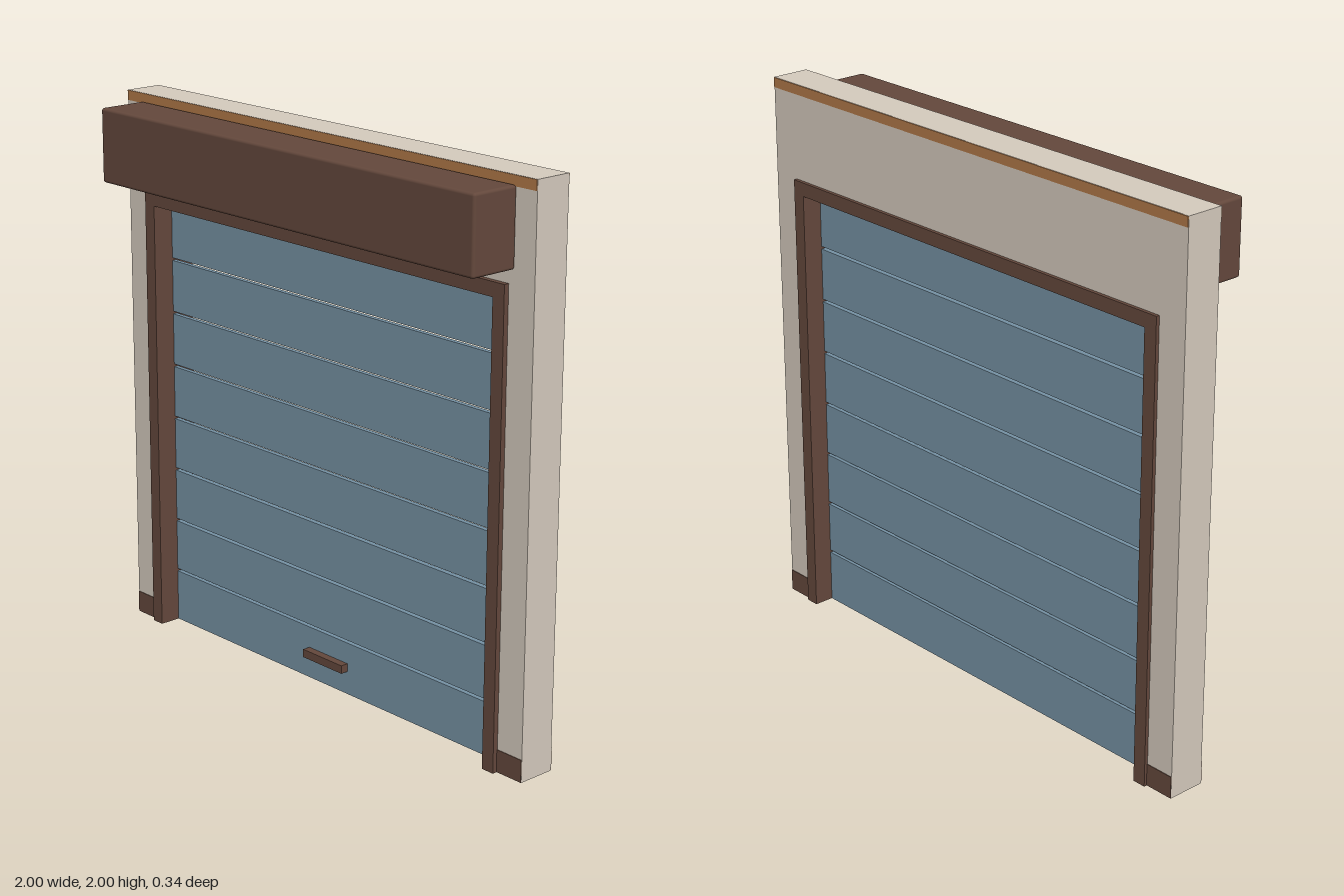
import * as THREE from 'three';
import { RoundedBoxGeometry } from 'three/addons/geometries/RoundedBoxGeometry.js';

const paint = (color) => new THREE.MeshStandardMaterial({ color });

export function createModel() {
  const group = new THREE.Group();
  const plaster = paint(0xd4cabd), brown = paint(0x64483c);
  const blue = paint(0x7591a3), copper = paint(0xb07848);

  function add(name, geometry, material, x = 0, y = 0, z = 0) {
    const mesh = new THREE.Mesh(geometry, material);
    mesh.name = name;
    mesh.position.set(x, y, z);
    group.add(mesh);
    return mesh;
  }
  const box = (w, h, d) => new THREE.BoxGeometry(w, h, d);

  // Upside-down U: two legs joined by a lintel, extruded from zBack to zFront
  function portal(name, outerX, outerY, innerX, innerY, zBack, zFront, material) {
    const shape = new THREE.Shape([
      [-outerX, 0], [-innerX, 0], [-innerX, innerY], [innerX, innerY],
      [innerX, 0], [outerX, 0], [outerX, outerY], [-outerX, outerY],
    ].map(([x, y]) => new THREE.Vector2(x, y)));
    const geometry = new THREE.ExtrudeGeometry(shape, { depth: zFront - zBack, bevelEnabled: false });
    return add(name, geometry, material, 0, 0, zBack);
  }

  const wallZ = -0.086;

  // Wall around the opening, and the frame lining it
  portal('wall', 1, 2, 0.88, 1.64, -0.156, -0.016, plaster);
  portal('doorFrame', 0.89, 1.655, 0.84, 1.605, -0.169, 0.003, brown);

  // Thin trim along the top and skirting at the feet
  add('topTrim', box(1.998, 0.035, 0.145), copper, 0, 1.9815, wallZ);
  for (const side of [-1, 1]) {
    add(side > 0 ? 'leftSkirting' : 'rightSkirting', box(0.119, 0.08, 0.145), brown, side * 0.94, 0.041, wallZ);
  }

  // Housing for the rolled-up shutter
  add('shutterHousing', new RoundedBoxGeometry(1.834, 0.266, 0.185, 3, 0.01), brown, 0, 1.837, 0.0775);

  // Shutter slats with narrow gaps between them
  for (let i = 0; i < 8; i++) {
    const bottom = i === 0 ? 0 : i * 0.2 + 0.003;
    const top = i * 0.2 + 0.193;
    add('slat' + (i + 1), box(1.69, top - bottom, 0.018), blue, 0, (bottom + top) / 2, wallZ);
  }

  // Pull handle on the lowest slat
  add('handle', box(0.2, 0.03, 0.03), brown, 0, 0.1, wallZ + 0.023);

  return group;
}
